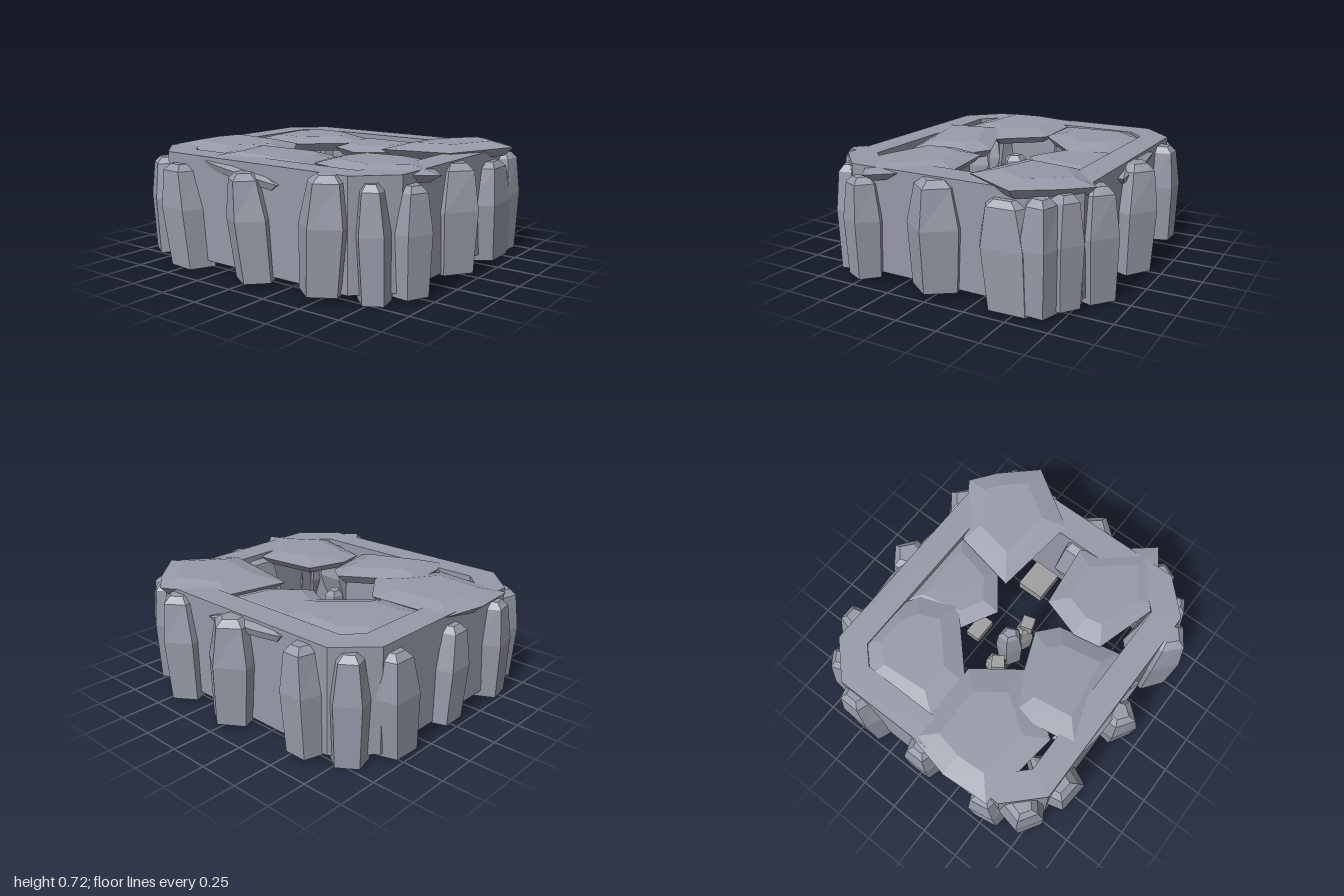
import * as THREE from 'three';

const stone = new THREE.MeshStandardMaterial({ color: 0x969aa8, flatShading: true, side: THREE.DoubleSide });
const pale = new THREE.MeshStandardMaterial({ color: 0xa09f9f, flatShading: true, side: THREE.DoubleSide });

// Skin a stack of rings (bottom to top, seen from above anticlockwise) and cap both ends
function loft(rings) {
  const pos = [];
  const tri = (a, b, c) => pos.push(...a, ...b, ...c);
  const n = rings[0].length;
  const middle = (ring) => [0, 1, 2].map((k) => ring.reduce((s, p) => s + p[k], 0) / n);
  const low = middle(rings[0]);
  const last = rings[rings.length - 1];
  const high = middle(last);
  for (let i = 0; i < n; i++) {
    const j = (i + 1) % n;
    for (let r = 0; r + 1 < rings.length; r++) {
      const a = rings[r], b = rings[r + 1];
      tri(a[i], a[j], b[j]);
      tri(a[i], b[j], b[i]);
    }
    tri(low, rings[0][j], rings[0][i]);
    tri(high, last[i], last[j]);
  }
  const geo = new THREE.BufferGeometry();
  geo.setAttribute('position', new THREE.Float32BufferAttribute(pos, 3));
  geo.computeVertexNormals();
  return geo;
}

function add(group, name, geo, material = stone) {
  const mesh = new THREE.Mesh(geo, material);
  mesh.name = name;
  group.add(mesh);
  return mesh;
}

// Upright faceted stone: five sides, widest in the middle, tapering to a small top;
// inward stretches the side that points into the ring, above the foot
function column(wide, deep, bottom, top, lean, flat, inward) {
  const h = top - bottom;
  const levels = [[0, 0.88, 1], [0.58, 1, inward], [0.94, 0.7, inward], [1, 0.4, 1]];
  const rings = levels.map(([t, s, stretch]) => {
    const ring = [];
    for (let i = 0; i < 5; i++) {
      const a = (i + (flat ? 0.5 : 0)) * Math.PI * 0.4;
      const x = Math.sin(a) * wide * s + lean * (0.5 - t);
      const c = Math.cos(a) * deep * (t > 0.9 ? s + 0.1 : s);
      ring.push([x, bottom + t * h, Math.cos(a) < -0.5 ? c * stretch : c]);
    }
    return ring;
  });
  return loft(rings);
}

// Flat faceted slab from an [x, z] outline; tilt is the rise per unit of x
function slab(outline, y, thick, tilt = 0) {
  const n = outline.length;
  const cx = outline.reduce((s, p) => s + p[0], 0) / n;
  const cz = outline.reduce((s, p) => s + p[1], 0) / n;
  const area = outline.reduce((s, p, i) => {
    const q = outline[(i + 1) % n];
    return s + p[0] * q[1] - q[0] * p[1];
  }, 0);
  const pts = area > 0 ? [...outline].reverse() : outline;
  const ring = (scale, dy) => pts.map(([x, z]) => {
    const dx = (x - cx) * scale, dz = (z - cz) * scale;
    return [cx + dx, y + dy + tilt * dx, cz + dz];
  });
  return loft([ring(0.84, -thick), ring(1, -thick * 0.4), ring(0.6, 0)]);
}

// Rectangle with cut corners
function cutRect(path, x0, x1, z0, z1, c) {
  path.moveTo(x0 + c, z0);
  path.lineTo(x1 - c, z0);
  path.lineTo(x1, z0 + c);
  path.lineTo(x1, z1 - c);
  path.lineTo(x1 - c, z1);
  path.lineTo(x0 + c, z1);
  path.lineTo(x0, z1 - c);
  path.lineTo(x0, z0 + c);
  path.closePath();
  return path;
}

export function createModel() {
  const model = new THREE.Group();
  model.name = 'rockRing';

  // Ring wall
  const shape = cutRect(new THREE.Shape(), -0.9, 0.845, -0.775, 0.785, 0.2);
  shape.holes.push(cutRect(new THREE.Path(), -0.73, 0.67, -0.61, 0.62, 0.1));
  const wall = new THREE.ExtrudeGeometry(shape, { depth: 0.63, bevelEnabled: false });
  wall.rotateX(Math.PI / 2).translate(0, 0.67, 0);
  add(model, 'ringWall', wall);

  // Upright stones: x, z, outward angle in degrees, half width, half depth, top, lean, flat face outward
  const columns = [
    [-0.8, 0.69, -32, 0.15, 0.13, 0.62, 0.02, 1],
    [-0.55, 0.77, -5, 0.17, 0.15, 0.61, 0.08, 1],
    [-0.01, 0.8, 8, 0.14, 0.15, 0.62, 0.07, 0],
    [0.5, 0.78, -3, 0.16, 0.15, 0.67, -0.04, 0],
    [0.73, 0.68, 30, 0.11, 0.12, 0.63, 0.02, 1],
    [0.85, 0.51, 65, 0.13, 0.12, 0.61, 0, 1],
    [0.82, 0.02, 90, 0.18, 0.175, 0.66, 0, 0],
    [0.83, -0.44, 92, 0.21, 0.12, 0.61, 0.04, 1],
    [0.82, -0.61, 125, 0.12, 0.13, 0.64, 0, 0],
    [0.72, -0.69, 145, 0.12, 0.13, 0.65, 0, 1],
    [0.49, -0.77, 178, 0.15, 0.15, 0.65, 0.03, 0],
    [0.0, -0.8, 180, 0.17, 0.155, 0.66, -0.03, 0],
    [-0.55, -0.78, 180, 0.13, 0.14, 0.65, 0.03, 1],
    [-0.77, -0.68, 215, 0.13, 0.12, 0.64, 0, 1],
    [-0.88, -0.46, 268, 0.16, 0.14, 0.62, 0.04, 1],
    [-0.88, 0.01, 270, 0.14, 0.14, 0.61, -0.03, 1],
    [-0.87, 0.49, 280, 0.14, 0.14, 0.62, 0.03, 1],
  ];
  columns.forEach(([x, z, angle, wide, deep, top, lean, flat], i) => {
    const bottom = ((i + 2) % 3) * 0.015;
    const mesh = add(model, 'uprightStone', column(wide, deep, bottom, top, lean, flat, 1.8));
    mesh.position.set(x, 0, z);
    mesh.rotation.y = THREE.MathUtils.degToRad(angle);
  });

  // Roof slabs overlapping the wall
  const backLeft = [[-0.8, -0.48], [-0.64, -0.66], [-0.35, -0.65], [-0.2, -0.57], [-0.09, -0.35], [-0.46, 0], [-0.76, 0]];
  const backMiddle = [[-0.3, -0.66], [0.32, -0.66], [0.24, -0.3], [0.02, -0.13], [-0.22, -0.26]];
  const backRight = [[0.27, -0.6], [0.62, -0.83], [0.77, -0.71], [0.955, -0.5], [0.72, -0.13], [0.19, -0.2]];
  const frontLeft = [[-0.96, 0.24], [-0.9, -0.04], [-0.38, -0.04], [-0.18, 0.23], [-0.43, 0.6], [-0.94, 0.53]];
  const frontMiddle = [[-0.44, 0.33], [0.05, 0.13], [0.17, 0.23], [0.25, 0.62], [-0.1, 0.68], [-0.38, 0.73]];
  const frontRight = [[0.25, 0.08], [0.65, 0.03], [0.97, 0.41], [0.64, 0.63], [0.2, 0.5], [0.17, 0.33]];
  add(model, 'roofSlab', slab(backLeft, 0.68, 0.09));
  add(model, 'roofSlab', slab(backMiddle, 0.65, 0.08));
  add(model, 'roofSlab', slab(backRight, 0.705, 0.09, 0.06));
  add(model, 'roofSlab', slab(frontLeft, 0.69, 0.08, -0.02));
  add(model, 'roofSlab', slab(frontMiddle, 0.68, 0.09, -0.07));
  add(model, 'roofSlab', slab(frontRight, 0.685, 0.08));

  // Thin ledges breaking through the front and back walls
  const ledge = [[-0.42, 0.6], [-0.38, 0.79], [-0.2, 0.81], [0.19, 0.81], [0.16, 0.6]];
  add(model, 'wallLedge', slab(ledge, 0.64, 0.07, -0.13));
  add(model, 'wallLedge', slab(ledge.map(([x, z]) => [x, -z]), 0.65, 0.07, -0.06));

  // Stones standing in the middle: x, z, half width, bottom, top
  [[-0.17, 0, 0.07, 0.06, 0.42], [-0.03, 0, 0.08, 0.12, 0.6], [0.11, 0, 0.07, 0.08, 0.42]].forEach(([x, z, r, y0, y1], i) => {
    const mesh = add(model, 'centreStone', column(r, r * 1.1, y0, y1, 0.02, i % 2, 1), i === 1 ? stone : pale);
    mesh.position.set(x, 0, z);
    mesh.rotation.y = i * 0.7;
  });

  // Loose blocks inside the ring: width, height, depth, x, y, z, turn
  [
    [0.19, 0.08, 0.56, -0.55, 0.1, 0.07, 0],
    [0.2, 0.07, 0.18, 0.5, 0.2, -0.16, 0],
    [0.24, 0.06, 0.16, 0.53, 0.11, 0.25, 0.2],
    [0.16, 0.06, 0.09, -0.14, 0.1, 0.47, 0],
    [0.16, 0.06, 0.1, 0.02, 0.08, -0.3, 0],
    [0.08, 0.08, 0.08, -0.19, 0.42, 0.03, 0.6],
    [0.08, 0.08, 0.08, 0.13, 0.42, 0.02, 0.3],
  ].forEach(([w, h, d, x, y, z, turn]) => {
    const mesh = add(model, 'looseBlock', new THREE.BoxGeometry(w, h, d), pale);
    mesh.position.set(x, y, z);
    mesh.rotation.y = turn;
  });

  return model;
}
